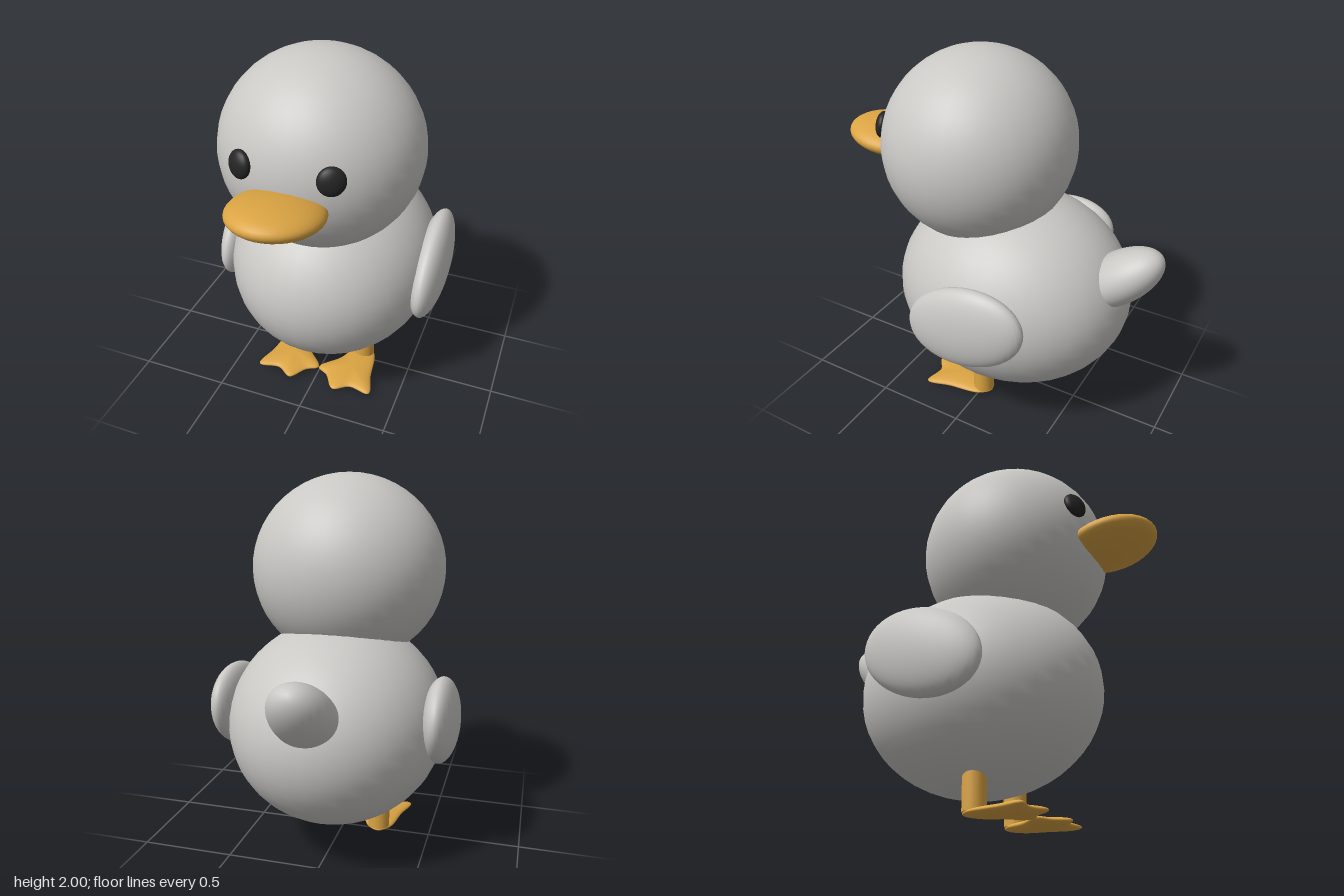
import * as THREE from 'three';
import { mergeVertices } from 'three/addons/utils/BufferGeometryUtils.js';

const plumage = new THREE.MeshStandardMaterial({ name: 'grey plumage', color: 0xc9c8c5 });
const orange = new THREE.MeshStandardMaterial({ name: 'orange skin', color: 0xdba443 });
const black = new THREE.MeshStandardMaterial({ name: 'eye black', color: 0x242424 });

// Smooth ellipsoid with the given radii and tilt about x
function ellipsoid(name, material, radii, position, tilt = 0) {
  const mesh = new THREE.Mesh(new THREE.SphereGeometry(1, 36, 26).scale(...radii), material);
  mesh.name = name;
  mesh.position.set(...position);
  mesh.rotation.x = tilt;
  return mesh;
}

// Webbed foot: a flat lens whose rim follows a three-toed outline (heel first)
const FOOT = [
  [0.22, -0.075], [0.155, -0.035], [0.10, 0.08], [0.0, 0.2], [0.065, 0.245],
  [0.135, 0.335], [0.225, 0.285], [0.345, 0.3], [0.315, 0.16], [0.28, -0.02],
];
function footGeometry(side) {
  const cx = 0.19 * side, cz = 0.14;
  const points = FOOT.map(([x, z]) => new THREE.Vector3(x * side, 0, z));
  if (side < 0) points.reverse();
  const rim = new THREE.CatmullRomCurve3(points, true);
  const across = 60, rings = 18;
  const geo = new THREE.SphereGeometry(1, across, rings);
  const pos = geo.attributes.position;
  for (let i = 0; i < pos.count; i++) {
    const p = rim.getPoint((i % (across + 1)) / across % 1);
    const s = Math.sin(Math.floor(i / (across + 1)) / rings * Math.PI);
    pos.setXYZ(i, cx + (p.x - cx) * s, 0.033 + pos.getY(i) * 0.028, cz + (p.z - cz) * s);
  }
  geo.deleteAttribute('uv');
  geo.deleteAttribute('normal');
  const smooth = mergeVertices(geo, 1e-5);
  smooth.computeVertexNormals();
  return smooth;
}

export function createModel() {
  const duck = new THREE.Group();
  duck.name = 'duckling';

  // Body, head, tail and bill
  duck.add(
    ellipsoid('body', plumage, [0.58, 0.545, 0.66], [0, 0.7, -0.1]),
    ellipsoid('head', plumage, [0.525, 0.51, 0.51], [0, 1.49, 0.115]),
    ellipsoid('tail', plumage, [0.165, 0.135, 0.28], [0, 0.915, -0.7], THREE.MathUtils.degToRad(40)),
    ellipsoid('bill', orange, [0.23, 0.081, 0.25], [0, 1.428, 0.68], THREE.MathUtils.degToRad(-8)),
  );

  for (const side of [1, -1]) {
    const label = side > 0 ? 'left' : 'right';

    // Wing, raised towards the back
    duck.add(ellipsoid(label + 'Wing', plumage, [0.095, 0.228, 0.345],
      [0.565 * side, 0.75, -0.118], THREE.MathUtils.degToRad(20)));

    // Eye, flattened against the head
    const eye = ellipsoid(label + 'Eye', black, [0.068, 0.07, 0.036], [0.222 * side, 1.577, 0.573]);
    eye.lookAt(0.222 * side * 2, 1.577 + 0.087, 0.573 + 0.458);
    duck.add(eye);

    // Leg
    const leg = new THREE.Mesh(new THREE.CylinderGeometry(0.06, 0.06, 0.25, 24), orange);
    leg.name = label + 'Leg';
    leg.position.set(0.214 * side, 0.165, -0.016);
    duck.add(leg);

    // Foot
    const foot = new THREE.Mesh(footGeometry(side), orange);
    foot.name = label + 'Foot';
    duck.add(foot);
  }
  return duck;
}
